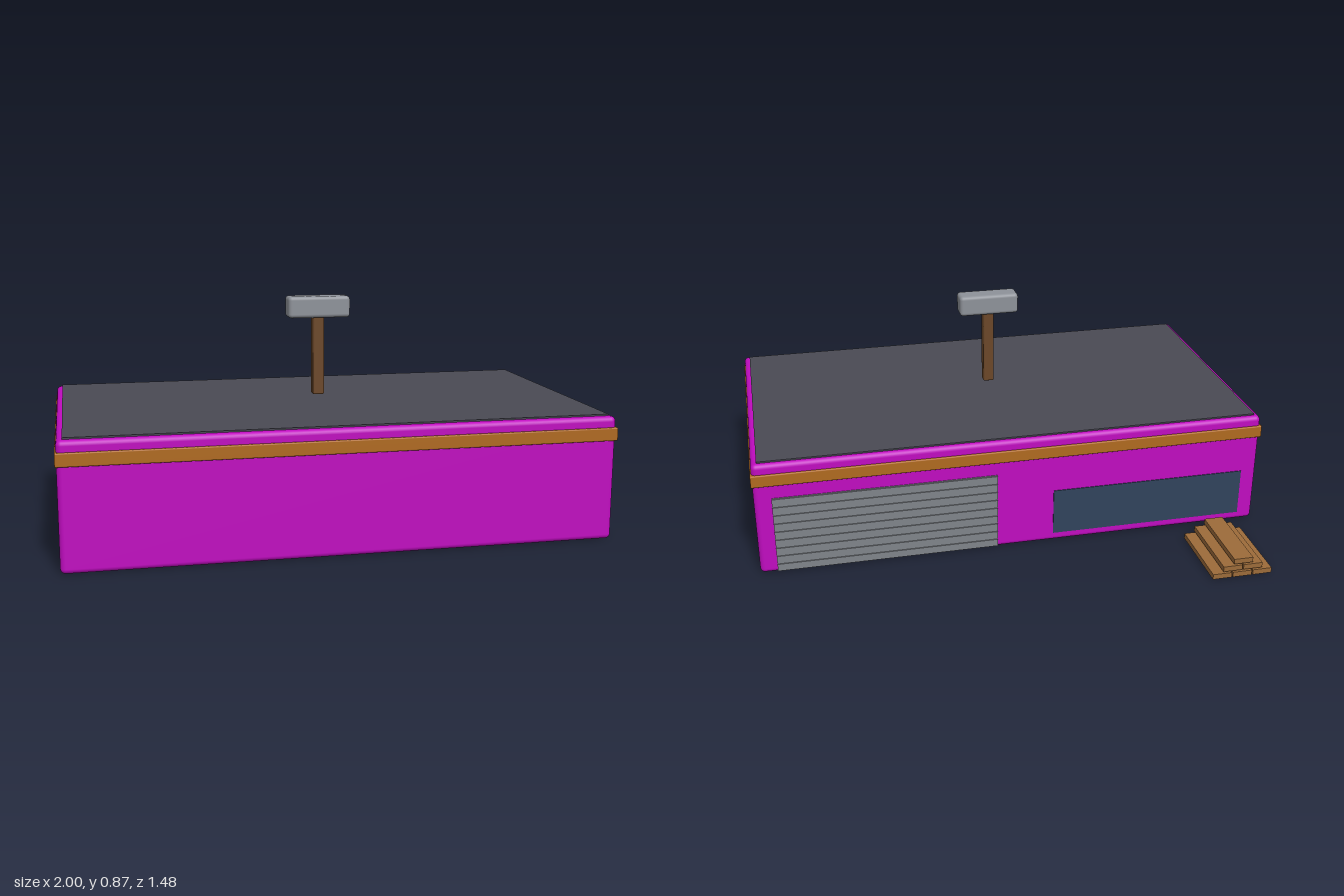
import * as THREE from 'three';
import { RoundedBoxGeometry } from 'three/addons/geometries/RoundedBoxGeometry.js';

const paint = (color) => new THREE.MeshStandardMaterial({ color });

const WALL = paint(0xc00cc0);
const ROOF = paint(0x4a4a54);
const TRIM = paint(0xb06a20);
const SHUTTER = paint(0x80848a);
const GLASS = paint(0x30435c);
const PLANK = paint(0x9c6b3a);
const HANDLE = paint(0x6b4728);
const STEEL = paint(0x8e9299);

export function createModel() {
  const model = new THREE.Group();
  model.name = 'workshop';

  // Box given by its extents on each axis, with optional rounded edges
  function block(name, material, [x0, x1], [y0, y1], [z0, z1], radius = 0, parent = model) {
    const size = [x1 - x0, y1 - y0, z1 - z0];
    const geometry = radius
      ? new RoundedBoxGeometry(...size, 3, radius)
      : new THREE.BoxGeometry(...size);
    const mesh = new THREE.Mesh(geometry, material);
    mesh.name = name;
    mesh.position.set((x0 + x1) / 2, (y0 + y1) / 2, (z0 + z1) / 2);
    parent.add(mesh);
    return mesh;
  }

  // Building
  block('walls', WALL, [-0.995, 0.995], [0, 0.46], [-0.338, 0.733], 0.018);
  block('roof', ROOF, [-0.973, 0.973], [0.44, 0.466], [-0.318, 0.707]);
  block('trimBand', TRIM, [-1, 1], [0.372, 0.421], [-0.345, 0.74], 0.005);

  // Roller shutter on the back wall
  const shutter = new THREE.Group();
  shutter.name = 'rollerShutter';
  model.add(shutter);
  block('shutterPanel', SHUTTER, [0.075, 0.93], [0.005, 0.32], [-0.341, -0.33], 0, shutter);
  const slats = 9;
  const pitch = 0.315 / slats;
  for (let i = 0; i < slats; i++) {
    const y = 0.005 + i * pitch;
    block('shutterSlat', SHUTTER, [0.075, 0.93], [y + 0.003, y + pitch - 0.003], [-0.345, -0.335], 0, shutter);
  }

  // Low window on the back wall
  block('window', GLASS, [-0.93, -0.15], [0.035, 0.225], [-0.341, -0.33]);

  // Mallet sign hovering over the roof
  const mallet = new THREE.Group();
  mallet.name = 'mallet';
  model.add(mallet);
  block('malletHandle', HANDLE, [-0.022, 0.022], [0.487, 0.8], [0.178, 0.222], 0.006, mallet);
  block('malletHead', STEEL, [-0.12, 0.12], [0.786, 0.868], [0.159, 0.241], 0.014, mallet);

  // Plank stack: rows of three, two and one
  const stack = new THREE.Group();
  stack.name = 'plankStack';
  model.add(stack);
  for (let row = 0; row < 3; row++) {
    const count = 3 - row;
    for (let i = 0; i < count; i++) {
      const x = -0.786 + (i - (count - 1) / 2) * 0.08;
      const y = row * 0.0285;
      block('plank', PLANK, [x - 0.0375, x + 0.0375], [y, y + 0.021], [-0.74, -0.435], 0, stack);
    }
  }

  return model;
}
